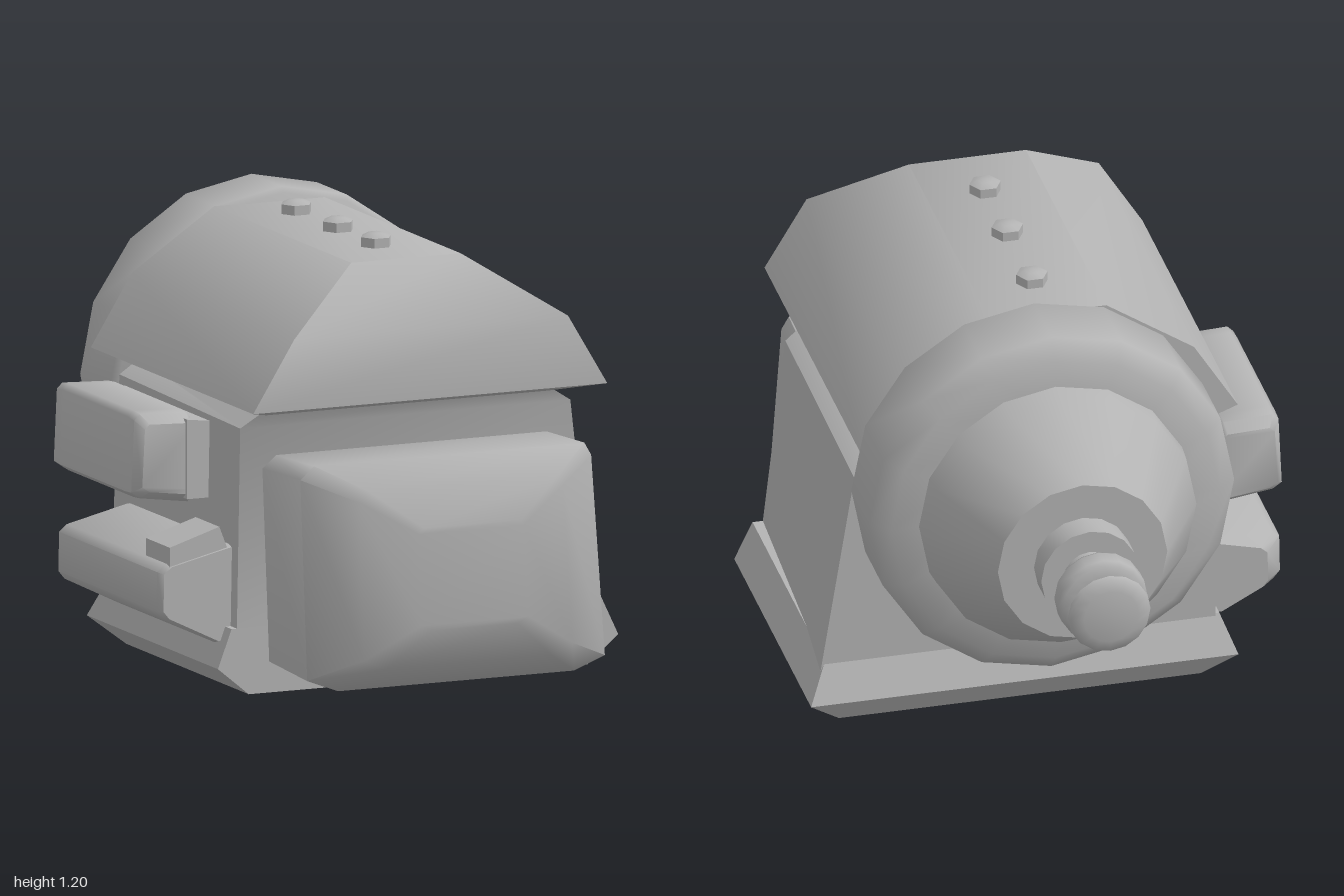
import * as THREE from 'three';
import { toCreasedNormals } from 'three/addons/utils/BufferGeometryUtils.js';

const grey = new THREE.MeshStandardMaterial({ color: 0xb3b3b3 });
grey.name = 'plain grey';

// Skin rings of [x, y, z] points (counterclockwise seen from +z, running back to front).
function loft(rings, crease = 0.6) {
  const n = rings[0].length, pos = [];
  const quad = (a, b, c, d) => [a, b, c, a, c, d].forEach(p => pos.push(...p));
  for (let i = 0; i + 1 < rings.length; i++)
    for (let j = 0; j < n; j++) {
      const k = (j + 1) % n;
      quad(rings[i][j], rings[i][k], rings[i + 1][k], rings[i + 1][j]);
    }
  // Caps are built as horizontal strips between mirrored point pairs.
  const back = rings[0], front = rings[rings.length - 1];
  for (let k = 0; k < n / 2 - 1; k++) {
    const [a, b, c, d] = [(n - k) % n, k + 1, k + 2, n - k - 1];
    quad(front[a], front[b], front[c], front[d]);
    quad(back[d], back[c], back[b], back[a]);
  }
  const g = new THREE.BufferGeometry();
  g.setAttribute('position', new THREE.Float32BufferAttribute(pos, 3));
  g.computeVertexNormals();
  return toCreasedNormals(g, crease);
}

// A section placed at several z stations, each scaled about a centre: [z, sx, sy].
function prism(section, [cx, cy], stations, crease) {
  return loft(stations.map(([z, sx, sy]) =>
    section.map(([x, y]) => [cx + (x - cx) * sx, cy + (y - cy) * sy, z])), crease);
}

export function createModel() {
  const model = new THREE.Group();
  model.name = 'machine';
  const add = (name, geometry) => {
    const mesh = new THREE.Mesh(geometry, grey);
    mesh.name = name;
    model.add(mesh);
    return mesh;
  };

  // Base skirt with a bevelled back edge
  const base = [[-0.42, 0], [0.57, 0], [0.66, 0.075], [0.61, 0.18], [-0.47, 0.18], [-0.51, 0.075]];
  const baseBack = [-0.15, -0.15, -0.205, -0.155, -0.155, -0.205];
  add('base', loft([
    base.map(([x, y], i) => [x, y, baseBack[i]]),
    base.map(([x, y]) => [x, y, 0.625]),
  ]));

  // Body, slightly wider at the back
  add('body', loft([
    [[-0.46, 0.15, -0.158], [0.623, 0.15, -0.158], [0.53, 0.73, -0.158],
      [0.44, 0.77, -0.158], [-0.38, 0.77, -0.158], [-0.44, 0.73, -0.158]],
    [[-0.455, 0.15, 0.625], [0.585, 0.15, 0.625], [0.52, 0.72, 0.625],
      [0.44, 0.77, 0.65], [-0.38, 0.77, 0.65], [-0.445, 0.72, 0.625]],
  ]));

  // Overhanging roof with a hipped front
  const roof = [[-0.38, 0.755, 0.65], [0.44, 0.755, 0.65], [0.515, 0.808, 0.87], [0.4, 1.0, 0.87],
    [0.16, 1.16, 0.71], [-0.16, 1.16, 0.71], [-0.4, 1.0, 0.87], [-0.52, 0.808, 0.87]];
  add('roof', loft([roof.map(([x, y]) => [x, y, -0.158]), roof], 0.8));

  // Hexagonal rivets along the ridge
  for (const z of [0.015, 0.28, 0.52]) {
    const rivet = add('rivet', new THREE.LatheGeometry(
      [[0.043, -0.01], [0.043, 0.028], [0.022, 0.038], [0, 0.04]].map(p => new THREE.Vector2(...p)), 6));
    rivet.geometry = toCreasedNormals(rivet.geometry, 0.6);
    rivet.rotation.y = Math.PI / 6;
    rivet.position.set(0, 1.158, z);
  }

  // Bulging front block
  add('frontBlock', prism(
    [[-0.27, 0.035], [0.42, 0.035], [0.51, 0.07], [0.47, 0.62],
      [0.45, 0.655], [-0.34, 0.655], [-0.38, 0.62], [-0.36, 0.07]],
    [0.065, 0.35],
    [[0.61, 1, 0.93], [0.62, 1, 0.95], [0.865, 1, 0.99], [0.95, 0.7, 0.78], [1.0, 0.36, 0.45]], 1.0));

  // Rear drum, cone and stepped spout, turned around the z axis
  const turned = (name, points, crease) => {
    const g = new THREE.LatheGeometry(points.map(([z, r]) => new THREE.Vector2(r, -z)), 16);
    const mesh = add(name, toCreasedNormals(g, crease));
    mesh.rotation.x = -Math.PI / 2;
    mesh.position.set(0.04, 0.697, 0);
  };
  turned('rearDrum', [[-0.15, 0], [-0.15, 0.485], [-0.165, 0.5], [-0.355, 0.5],
    [-0.4, 0.45], [-0.4, 0.3]], 1.1);
  turned('rearCone', [[-0.39, 0.375], [-0.46, 0.37], [-0.69, 0.232], [-0.69, 0]], 0.9);
  turned('spout', [[-0.68, 0.133], [-0.768, 0.133], [-0.768, 0.072], [-0.845, 0.072],
    [-0.85, 0.115], [-0.865, 0.122], [-0.91, 0.122], [-0.925, 0.112], [-0.925, 0.066],
    [-0.975, 0.066], [-0.978, 0.113], [-0.99, 0.108], [-1.0, 0.075], [-1.0, 0]], 1.1);

  // Upper side box on a narrower mount
  add('upperSideBox', prism(
    [[-0.63, 0.502], [-0.49, 0.482], [-0.478, 0.5], [-0.482, 0.715],
      [-0.495, 0.73], [-0.63, 0.736], [-0.646, 0.72], [-0.655, 0.52]],
    [-0.53, 0.61],
    [[-0.13, 0.85, 0.78], [-0.1, 1, 0.97], [-0.06, 1, 1], [0.35, 1, 1], [0.39, 1, 0.97], [0.42, 0.85, 0.78]], 0.9));
  add('upperMount', prism(
    [[-0.51, 0.5], [-0.43, 0.5], [-0.43, 0.705], [-0.51, 0.715]],
    [-0.47, 0.6], [[-0.11, 1, 1], [0.43, 1, 1]]));

  // Lower side box, with a raised block at its front end
  add('lowerSideBox', prism(
    [[-0.49, 0.135], [-0.42, 0.15], [-0.42, 0.4], [-0.46, 0.398],
      [-0.635, 0.357], [-0.658, 0.338], [-0.66, 0.232], [-0.642, 0.21]],
    [-0.47, 0.27],
    [[-0.12, 0.75, 0.8], [-0.06, 1, 1], [0.56, 1, 1], [0.585, 0.95, 0.95]], 0.9));
  add('lowerSideBlock', prism(
    [[-0.63, 0.34], [-0.45, 0.36], [-0.485, 0.45], [-0.63, 0.405]],
    [-0.55, 0.38], [[0.43, 1, 1], [0.58, 1, 1]]));

  return model;
}
